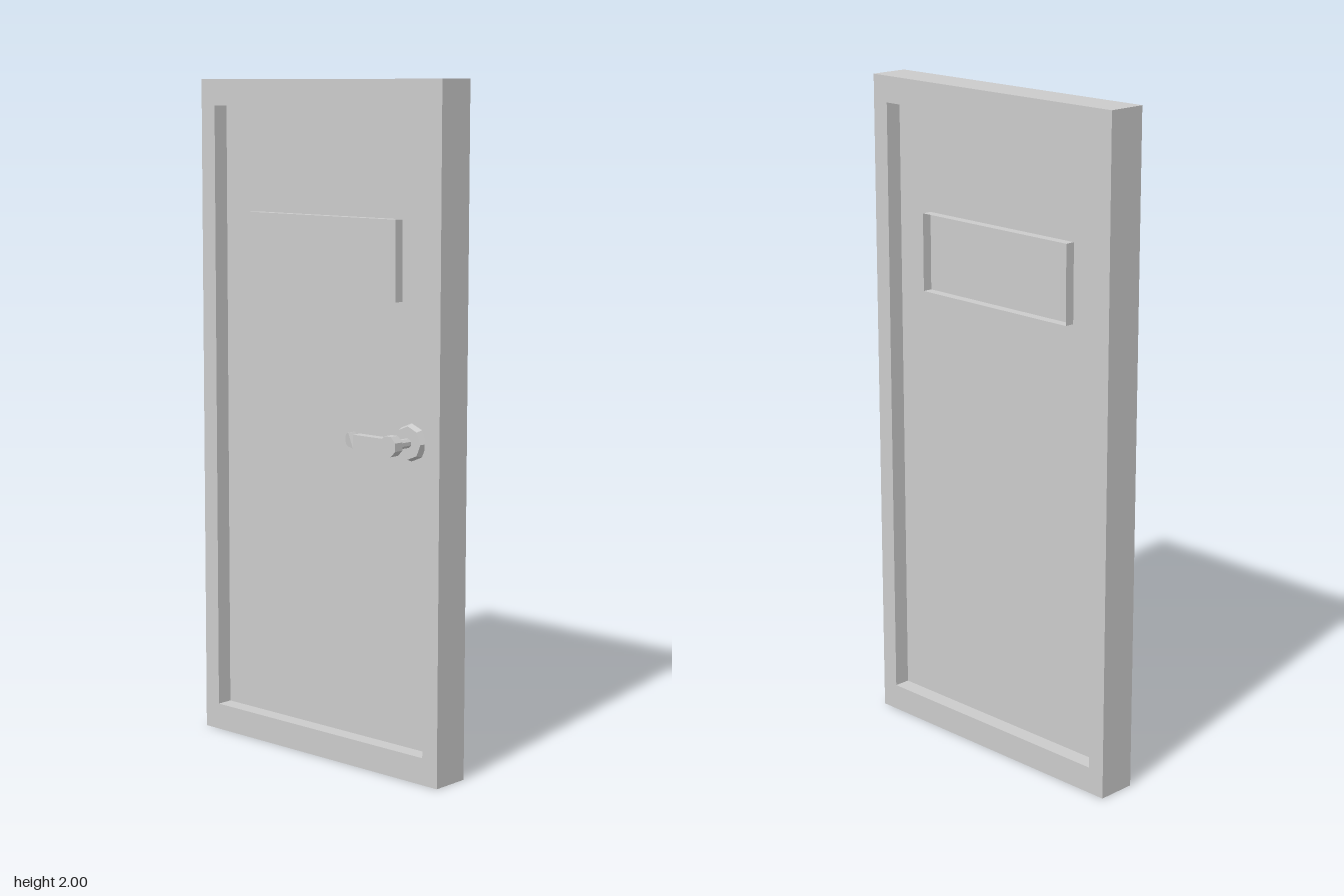
import * as THREE from 'three';

const grey = new THREE.MeshStandardMaterial({ color: 0xcccccc, flatShading: true });
const thin = new THREE.MeshStandardMaterial({ color: 0xcccccc, flatShading: true, side: THREE.DoubleSide });

function add(parent, name, geometry, material = grey) {
  const mesh = new THREE.Mesh(geometry, material);
  mesh.name = name;
  parent.add(mesh);
  return mesh;
}

function rectangle(PathType, x0, y0, x1, y1) {
  return new PathType([[x0, y0], [x1, y0], [x1, y1], [x0, y1]].map(p => new THREE.Vector2(...p)));
}

// Extrudes a flat outline along z, from z0 to z1
function slab(shape, z0, z1) {
  return new THREE.ExtrudeGeometry(shape, { depth: z1 - z0, bevelEnabled: false, curveSegments: 4 })
    .translate(0, 0, z0);
}

// Eight-sided cylinder along z
function octagon(rFront, rBack, z0, z1, turn = 0) {
  return new THREE.CylinderGeometry(rFront, rBack, z1 - z0, 8)
    .rotateY(turn).rotateX(Math.PI / 2).translate(0, 0, (z0 + z1) / 2);
}

export function createModel() {
  const door = new THREE.Group();
  door.name = 'door';

  // Outer frame around the recessed leaf
  const outline = rectangle(THREE.Shape, -0.47, 0, 0.47, 2);
  outline.holes.push(rectangle(THREE.Path, -0.415, 0.08, 0.415, 1.922));
  add(door, 'frame', slab(outline, -0.088, 0.032));

  // Thin leaf, recessed on both sides
  add(door, 'leaf', new THREE.BoxGeometry(0.83, 1.842, 0.02)).position.set(0, 1.001, -0.028);

  // Window: raised panel in front, open thin rim behind
  const x0 = -0.29, x1 = 0.287, y0 = 1.377, y1 = 1.61, front = 0.012, back = -0.068;
  const windowGroup = new THREE.Group();
  windowGroup.name = 'window';
  door.add(windowGroup);
  const w = x1 - x0, h = y1 - y0, d = front - back;
  const cx = (x0 + x1) / 2, cy = (y0 + y1) / 2, cz = (front + back) / 2;
  add(windowGroup, 'windowPanel', new THREE.PlaneGeometry(w, h), thin).position.set(cx, cy, front);
  for (const side of [-1, 1]) {
    const jamb = add(windowGroup, 'windowSide', new THREE.PlaneGeometry(d, h), thin);
    jamb.position.set(cx + side * w / 2, cy, cz);
    jamb.rotation.y = side * Math.PI / 2;
    const rail = add(windowGroup, 'windowRail', new THREE.PlaneGeometry(w, d), thin);
    rail.position.set(cx, cy + side * h / 2, cz);
    rail.rotation.x = -side * Math.PI / 2;
  }

  // Lever handle, built around its spindle
  const handle = new THREE.Group();
  handle.name = 'handle';
  handle.position.set(0.325, 0.979, 0);
  door.add(handle);
  add(handle, 'rosette', octagon(0.048, 0.055, -0.018, 0.0));
  add(handle, 'spindle', octagon(0.014, 0.014, -0.005, 0.058, Math.PI / 8));
  add(handle, 'hub', octagon(0.031, 0.031, 0.055, 0.086, Math.PI / 8));

  // Straight grip, then a rounded tip sheared back towards the leaf
  const r = 0.02, bend = -0.132, tipEnd = -0.185;
  add(handle, 'grip', slab(rectangle(THREE.Shape, bend, -r, -0.02, r), 0.055, 0.085));
  const tip = new THREE.Shape();
  tip.moveTo(bend, r);
  tip.absarc(tipEnd + r, 0, r, Math.PI / 2, Math.PI * 1.5, false);
  tip.lineTo(bend, -r);
  const tipGeometry = slab(tip, 0.055, 0.085);
  const p = tipGeometry.attributes.position;
  for (let i = 0; i < p.count; i++) p.setZ(i, p.getZ(i) - 0.5 * (bend - p.getX(i)));
  tipGeometry.computeVertexNormals();
  add(handle, 'gripTip', tipGeometry);

  return door;
}
